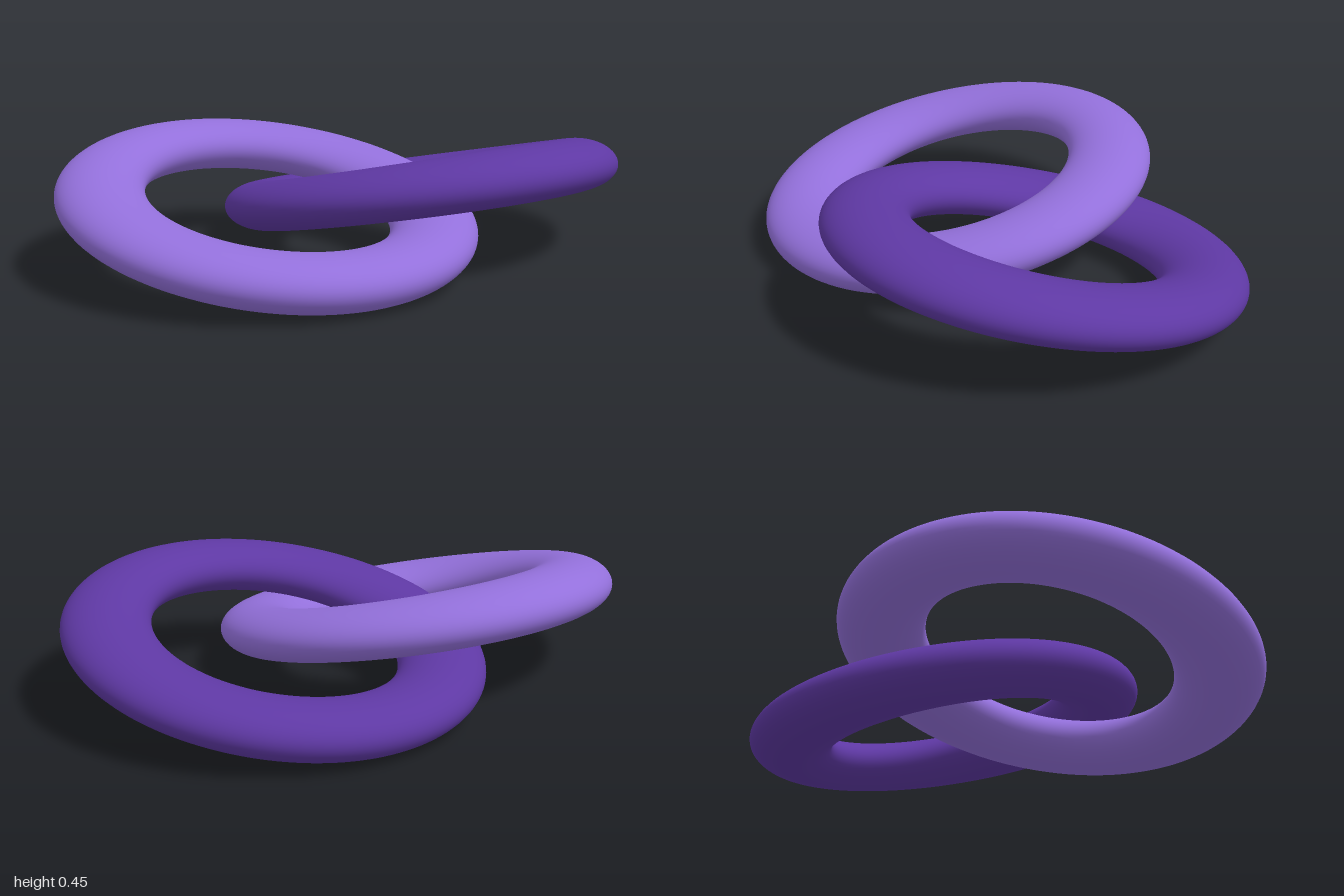
import * as THREE from 'three';
import { mergeVertices } from 'three/addons/utils/BufferGeometryUtils.js';

const RADIUS = 0.577; // centre line of a ring
const TUBE = 0.153;   // half width of the band
const FLAT = 0.61;    // band height relative to its width
const MID = 0.225;    // height of the ring centres

// Flattened ring whose centre line rises and falls once around the loop
function ringGeometry() {
  let g = new THREE.TorusGeometry(RADIUS, TUBE, 48, 160);
  g.rotateX(-Math.PI / 2);
  g.deleteAttribute('uv');
  g.deleteAttribute('normal');
  g = mergeVertices(g);
  const p = g.attributes.position;
  for (let i = 0; i < p.count; i++) {
    const x = p.getX(i), z = p.getZ(i);
    const k = RADIUS / Math.hypot(x, z);
    p.setY(i, p.getY(i) * FLAT - (0.144 * x + 0.178 * z) * k);
  }
  g.computeVertexNormals();
  return g;
}

export function createModel() {
  const model = new THREE.Group();
  model.name = 'linkedRings';
  const lightPurple = new THREE.MeshStandardMaterial({ color: 0x9370db });
  lightPurple.name = 'light purple';
  const darkPurple = new THREE.MeshStandardMaterial({ color: 0x5e38a3 });
  darkPurple.name = 'dark purple';

  // The second ring is the first one turned half way round the upright axis
  const geometry = ringGeometry();
  const rings = [['lightRing', lightPurple, -1], ['darkRing', darkPurple, 1]];
  for (const [name, material, side] of rings) {
    const ring = new THREE.Mesh(geometry, material);
    ring.name = name;
    ring.position.set(0.27 * side, MID, -0.194 * side);
    if (side > 0) ring.rotation.y = Math.PI;
    model.add(ring);
  }
  return model;
}
